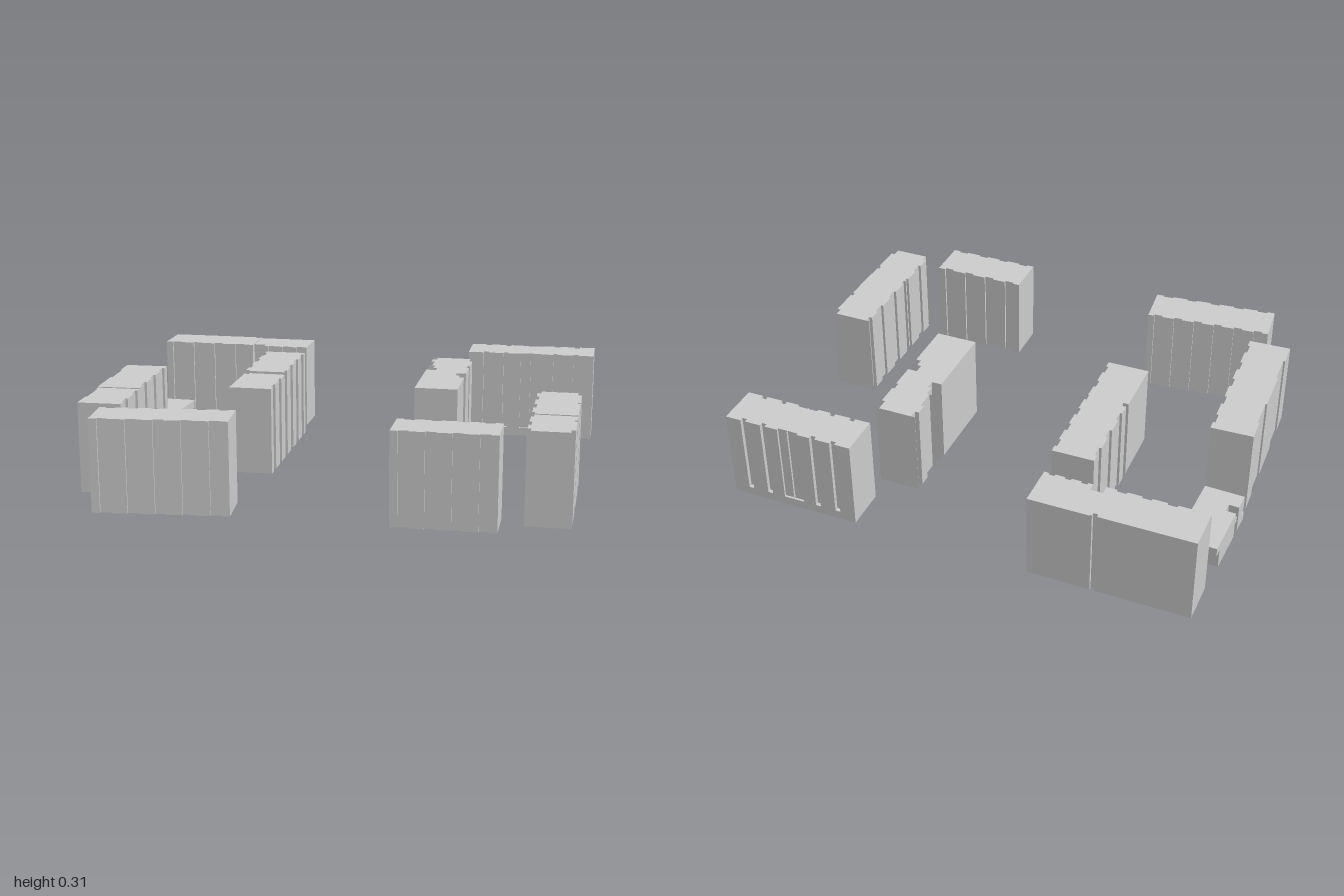
import * as THREE from 'three';

const material = new THREE.MeshStandardMaterial({ color: 0xcccccc, flatShading: true });
const WIDTH = 0.145, HEIGHT = 0.305;

// A recess runs from one fraction of the facade to another.
const recess = (from, to, inset) => ({ from, to, inset });

// Evenly spaced shallow bays along a stretch of facade.
const bays = (count, inset, from = 0, to = 1) => Array.from({ length: count }, (_, i) => {
  const pitch = (to - from) / count;
  return recess(from + (i + 0.3) * pitch, from + (i + 0.7) * pitch, inset);
});

// Recesses mirrored about the middle of a facade.
const mirrored = (half) => [...half, ...half.map((r) => recess(1 - r.to, 1 - r.from, r.inset)).reverse()];

// Extruded wing, long axis x, between fractions t0 and t1 of the block's length.
function wing(name, { length, width = WIDTH, back = [], front = [] }, t0, t1, y0, y1) {
  const points = [];
  const add = (t, z) => {
    const p = new THREE.Vector2((t - 0.5) * length, -z);
    const last = points[points.length - 1];
    if (!last || last.distanceTo(p) > 1e-5) points.push(p);
  };
  const facade = (recesses, sign, start, end) => {
    const z = sign * width / 2;
    add(start, z);
    for (const { from, to, inset } of recesses) {
      const a = Math.max(from, t0), b = Math.min(to, t1);
      if (a >= b) continue;
      const [first, second] = start < end ? [a, b] : [b, a];
      add(first, z);
      add(first, z - sign * inset);
      add(second, z - sign * inset);
      add(second, z);
    }
    add(end, z);
  };
  facade(back, -1, t0, t1);
  facade([...front].reverse(), 1, t1, t0);
  const geometry = new THREE.ExtrudeGeometry(new THREE.Shape(points), { depth: y1 - y0, bevelEnabled: false });
  geometry.rotateX(-Math.PI / 2).translate(0, y0, 0);
  const mesh = new THREE.Mesh(geometry, material);
  mesh.name = name;
  return mesh;
}

// Group centred at x, z whose long axis is turned by degrees in plan.
function site(name, x, z, degrees) {
  const group = new THREE.Group();
  group.name = name;
  group.position.set(x, 0, z);
  group.rotation.y = -THREE.MathUtils.degToRad(degrees);
  return group;
}

// Apartment block, optionally split into two wings with the second roof lower.
function block(name, x, z, degrees, plan, split = 1, drop = 0.003) {
  const group = site(name, x, z, degrees);
  group.add(wing('mainWing', plan, 0, split, 0, HEIGHT));
  if (split < 1) group.add(wing('endWing', plan, split, 1, 0, HEIGHT - drop));
  return group;
}

// Block whose balcony bays rise from a plinth of full width.
function balconyBlock() {
  const group = site('rightBlock', 0.783, 0.036, 44.1);
  const length = 0.457;
  const balconies = mirrored([recess(0.12, 0.16, 0.014), recess(0.28, 0.32, 0.014), recess(0.42, 0.5, 0.008)]);
  group.add(wing('plinth', { length, width: 0.148 }, 0, 1, 0, 0.03));
  group.add(wing('balconyFloors', { length, width: 0.148, back: balconies, front: balconies }, 0, 1, 0.03, 0.312));
  return group;
}

// Low pavilion with canopies over its recessed entrances.
function pavilion() {
  const group = site('lowPavilion', -0.383, -0.688, 136.5);
  const length = 0.276, width = 0.138;
  const hall = { length, width, front: [recess(0.66, 0.78, 0.035)] };
  group.add(wing('hall', hall, 0.08, 0.94, 0, 0.1));
  group.add(wing('roofOverhang', { length, width }, -0.03, 0.08, 0.07, 0.1));
  group.add(wing('sideCanopy', { length, width: 0.13 }, 0.66, 0.78, 0.04, 0.06));
  group.add(wing('endStep', { length, width }, 0.94, 1.03, 0, 0.03));
  group.add(wing('endCanopy', { length, width }, 0.94, 1, 0.05, 0.1));
  return group;
}

export function createModel() {
  const model = new THREE.Group();

  // Back row
  model.add(block('backBlock', -0.015, -0.75, 44.5, {
    length: 0.55,
    back: [recess(0.58, 0.61, 0.012)],
    front: [...bays(4, 0.008, 0, 0.6), recess(0.62, 0.7, 0.028), ...bays(3, 0.008, 0.7)],
  }, 0.62));
  model.add(block('backLeftBlock', -0.7, -0.345, 132.4, {
    length: 0.55, back: bays(5, 0.008), front: bays(2, 0.006),
  }, 0.62));
  model.add(pavilion());

  // Middle blocks
  model.add(block('innerBackBlock', -0.175, -0.27, 134, {
    length: 0.55, back: bays(6, 0.008), front: [...bays(3, 0.008, 0, 0.55), recess(0.57, 0.62, 0.016)],
  }, 0.6, 0.008));
  model.add(block('innerFrontBlock', 0.3, 0.137, 134.6, {
    length: 0.485,
    back: [recess(0, 0.09, 0.012), recess(0.25, 0.31, 0.008), recess(0.5, 0.57, 0.033), recess(0.57, 0.63, 0.018)],
    front: [recess(0, 0.06, 0.015), recess(0.14, 0.28, 0.012), recess(0.28, 0.36, 0.022), recess(0.36, 0.42, 0.035)],
  }));

  // Outer sides
  model.add(block('leftBlock', -0.785, 0.11, 39, { length: 0.438, back: bays(6, 0.008), front: bays(5, 0.007) }));
  model.add(balconyBlock());

  // Front row
  model.add(block('frontLeftBlock', -0.14, 0.725, 44.3, { length: 0.33, back: bays(4, 0.008), front: bays(4, 0.007) }));
  const corners = mirrored([recess(0, 0.06, 0.013), recess(0.27, 0.3, 0.008)]);
  model.add(block('frontBlock', 0.265, 0.757, 134.6, {
    length: 0.498, back: corners, front: [recess(0, 0.05, 0.012), ...bays(4, 0.009, 0.08, 0.92), recess(0.95, 1, 0.012)],
  }, 0.6));
  return model;
}
